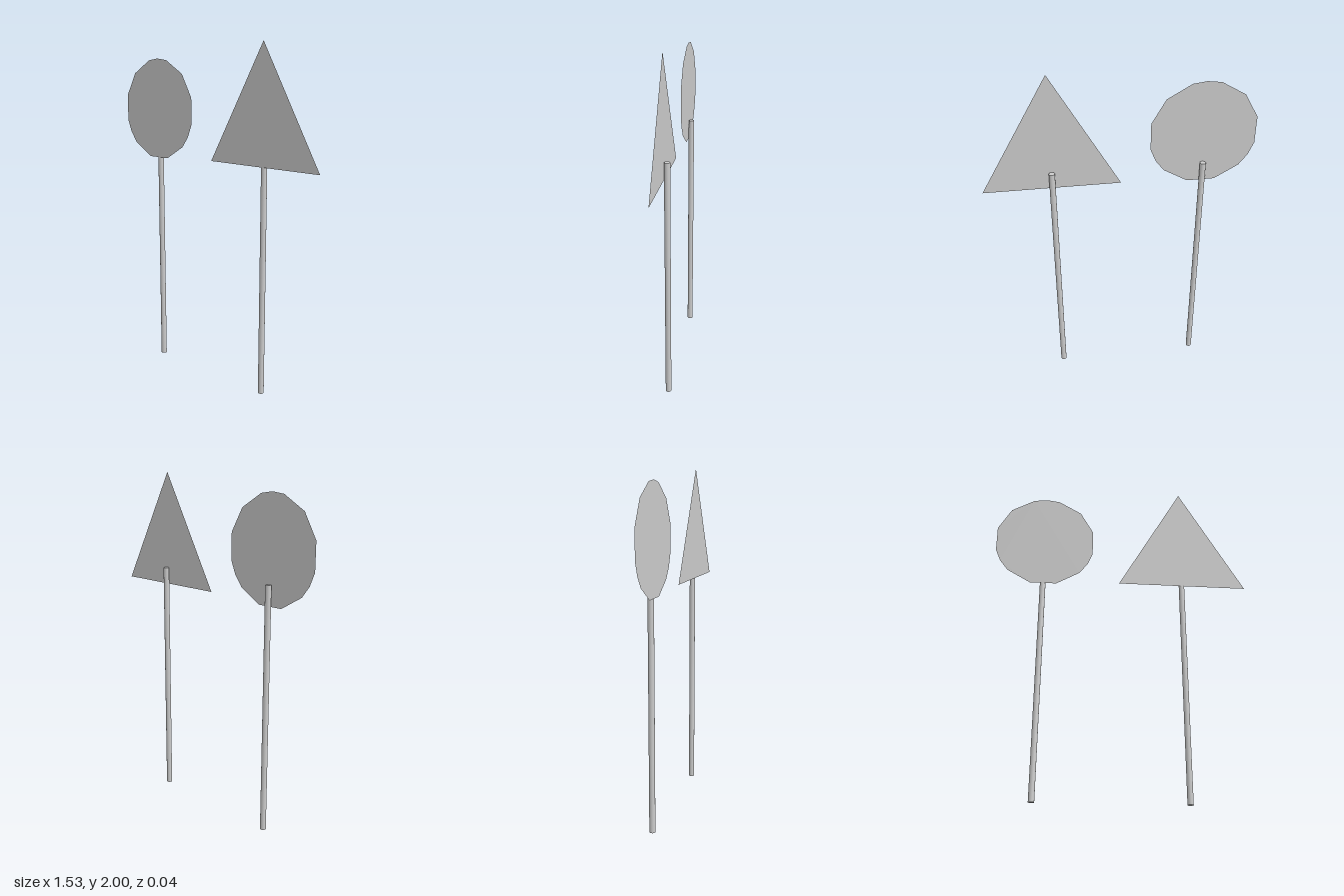
import * as THREE from 'three';

const POLE_HEIGHT = 1.43;
const POLE_RADIUS = 0.017;
const POLE_Z = -0.001;
const PLATE_Z = 0.018;

const metal = new THREE.MeshStandardMaterial({ color: 0xcccccc });
const sheet = new THREE.MeshStandardMaterial({ color: 0xcccccc, side: THREE.DoubleSide });

// Flat plate whose corners lie on a circle at the given angles (degrees)
function makePlate(name, angles, radius, x, y) {
  const corners = angles.map((deg) => {
    const a = THREE.MathUtils.degToRad(deg);
    return new THREE.Vector2(Math.cos(a) * radius, Math.sin(a) * radius);
  });
  const plate = new THREE.Mesh(new THREE.ShapeGeometry(new THREE.Shape(corners)), sheet);
  plate.name = name;
  plate.position.set(x, y, PLATE_Z);
  return plate;
}

// Round post standing on the ground
function makePole(name, x) {
  const pole = new THREE.Mesh(
    new THREE.CylinderGeometry(POLE_RADIUS, POLE_RADIUS, POLE_HEIGHT, 16), metal);
  pole.name = name;
  pole.position.set(x, POLE_HEIGHT / 2, POLE_Z);
  return pole;
}

export function createModel() {
  const model = new THREE.Group();
  model.name = 'roadSigns';

  // Round sign: twelve even corners plus three extra at 90, 210 and 330 degrees
  const roundAngles = [90, 210, 330];
  for (let i = 0; i < 12; i++) roundAngles.push(15 + i * 30);
  roundAngles.sort((a, b) => a - b);
  const roundSign = new THREE.Group();
  roundSign.name = 'roundSign';
  roundSign.add(
    makePlate('roundPlate', roundAngles, 0.307, -0.472, 1.606),
    makePole('roundSignPole', -0.474));

  // Triangular sign: equilateral, point up
  const triangleSign = new THREE.Group();
  triangleSign.name = 'triangleSign';
  triangleSign.add(
    makePlate('trianglePlate', [90, 210, 330], 0.448, 0.377, 1.552),
    makePole('triangleSignPole', 0.377));

  model.add(roundSign, triangleSign);
  return model;
}
